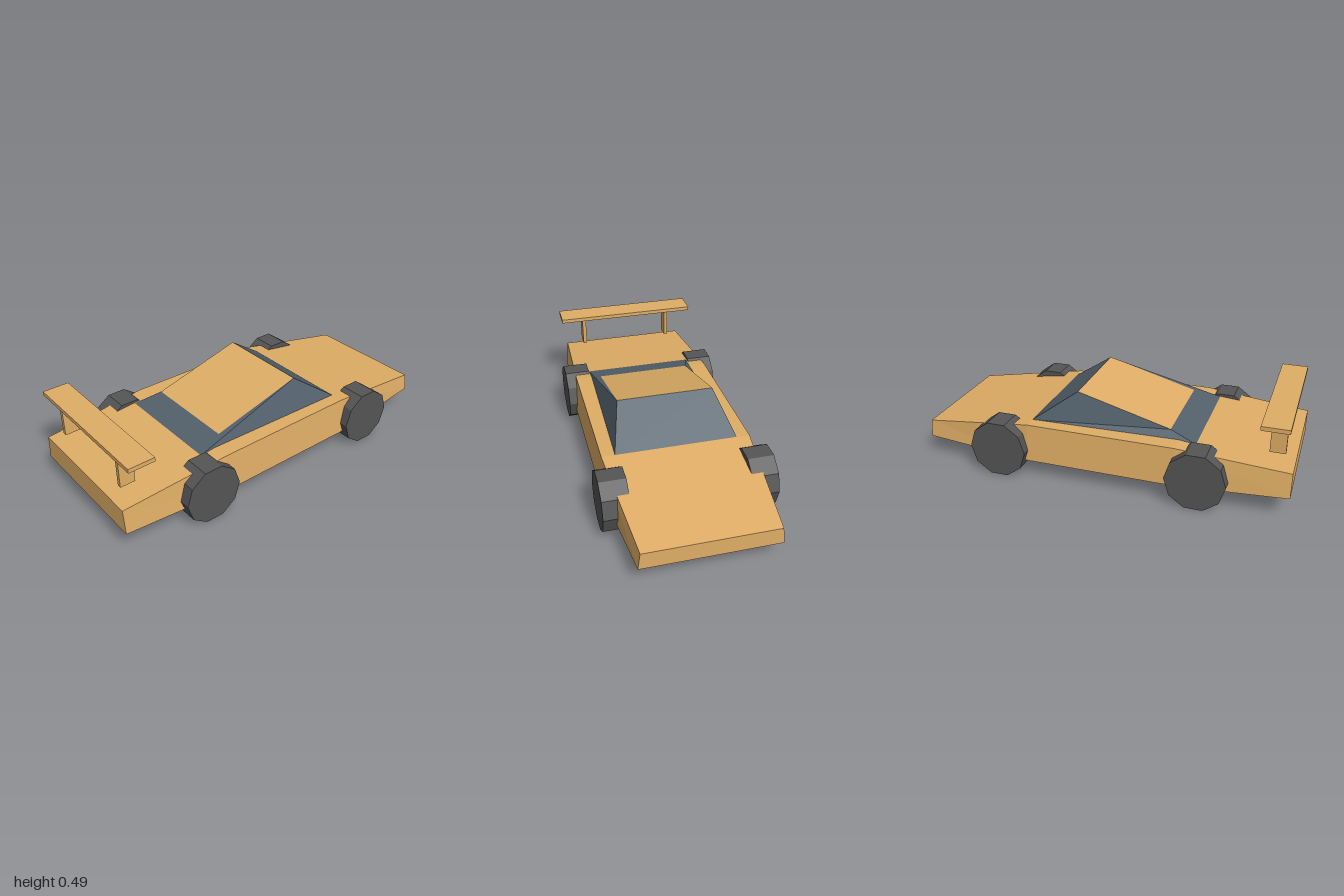
import * as THREE from 'three';

const paint = new THREE.MeshStandardMaterial({ color: 0xe0ae66, flatShading: true });
const glass = new THREE.MeshStandardMaterial({ color: 0x53616c, flatShading: true });
const rubber = new THREE.MeshStandardMaterial({ color: 0x555555, flatShading: true });

// Flat-faced surface from four-cornered faces, corners counter-clockwise from outside
function quads(faces) {
  const points = faces.flatMap(([a, b, c, d]) => [a, b, c, a, c, d]).flat();
  const geometry = new THREE.BufferGeometry();
  geometry.setAttribute('position', new THREE.Float32BufferAttribute(points, 3));
  geometry.computeVertexNormals();
  return geometry;
}

// Closed loft through trapezoid sections listed from -z to +z
function loft(sections) {
  const rings = sections.map(({ z, bottom, top, wBottom, wTop }) => [
    [-wBottom, bottom, z], [wBottom, bottom, z], [wTop, top, z], [-wTop, top, z],
  ]);
  const faces = [[...rings[0]].reverse(), rings[rings.length - 1]];
  for (let i = 0; i < rings.length - 1; i++) {
    for (let k = 0; k < 4; k++) {
      const n = (k + 1) % 4;
      faces.push([rings[i][k], rings[i][n], rings[i + 1][n], rings[i + 1][k]]);
    }
  }
  return quads(faces);
}

export function createModel() {
  const car = new THREE.Group();
  car.name = 'car';
  const add = (name, geometry, material, x = 0, y = 0, z = 0) => {
    const mesh = new THREE.Mesh(geometry, material);
    mesh.name = name;
    mesh.position.set(x, y, z);
    car.add(mesh);
    return mesh;
  };

  // Wedge body, nose at -z
  add('body', loft([
    { z: -1, bottom: 0.108, top: 0.2, wBottom: 0.352, wTop: 0.34 },
    { z: -0.38, bottom: 0.09, top: 0.295, wBottom: 0.41, wTop: 0.395 },
    { z: 0.42, bottom: 0.09, top: 0.295, wBottom: 0.41, wTop: 0.395 },
    { z: 1, bottom: 0.113, top: 0.244, wBottom: 0.384, wTop: 0.37 },
  ]), paint);

  // Cabin: glass all round, painted sloping roof
  const pair = (x, y, z) => [[-x, y, z], [x, y, z]];
  const [frontR, frontL] = pair(0.325, 0.294, -0.38);
  const [rearR, rearL] = pair(0.305, 0.287, 0.51);
  const [peakR, peakL] = pair(0.26, 0.465, -0.14);
  const [tailR, tailL] = pair(0.26, 0.327, 0.365);
  add('windows', quads([
    [frontL, frontR, peakR, peakL],
    [rearR, rearL, tailL, tailR],
    [rearL, frontL, peakL, tailL],
    [frontR, rearR, tailR, peakR],
  ]), glass);
  add('roof', quads([[tailR, tailL, peakL, peakR]]), paint);

  // Ten-sided wheels with a flat edge on the ground
  const wheel = new THREE.CylinderGeometry(0.158, 0.158, 0.14, 10);
  wheel.rotateY(Math.PI / 2).rotateZ(Math.PI / 2);
  // Align a corner with the z axis
  const corner = Math.atan2(wheel.attributes.position.getY(0), wheel.attributes.position.getZ(0));
  wheel.rotateX(corner);

  // Spoiler posts and wheels, mirrored
  const post = new THREE.BoxGeometry(0.022, 0.175, 0.08);
  for (const [side, s] of [['left', 1], ['right', -1]]) {
    add(`${side}FrontWheel`, wheel, rubber, s * 0.38, 0.15, -0.535);
    add(`${side}RearWheel`, wheel, rubber, s * 0.38, 0.15, 0.54);
    add(`${side}SpoilerPost`, post, paint, s * 0.268, 0.384, 0.91);
  }
  add('spoilerWing', new THREE.BoxGeometry(0.82, 0.022, 0.14), paint, 0, 0.481, 0.9);

  return car;
}
